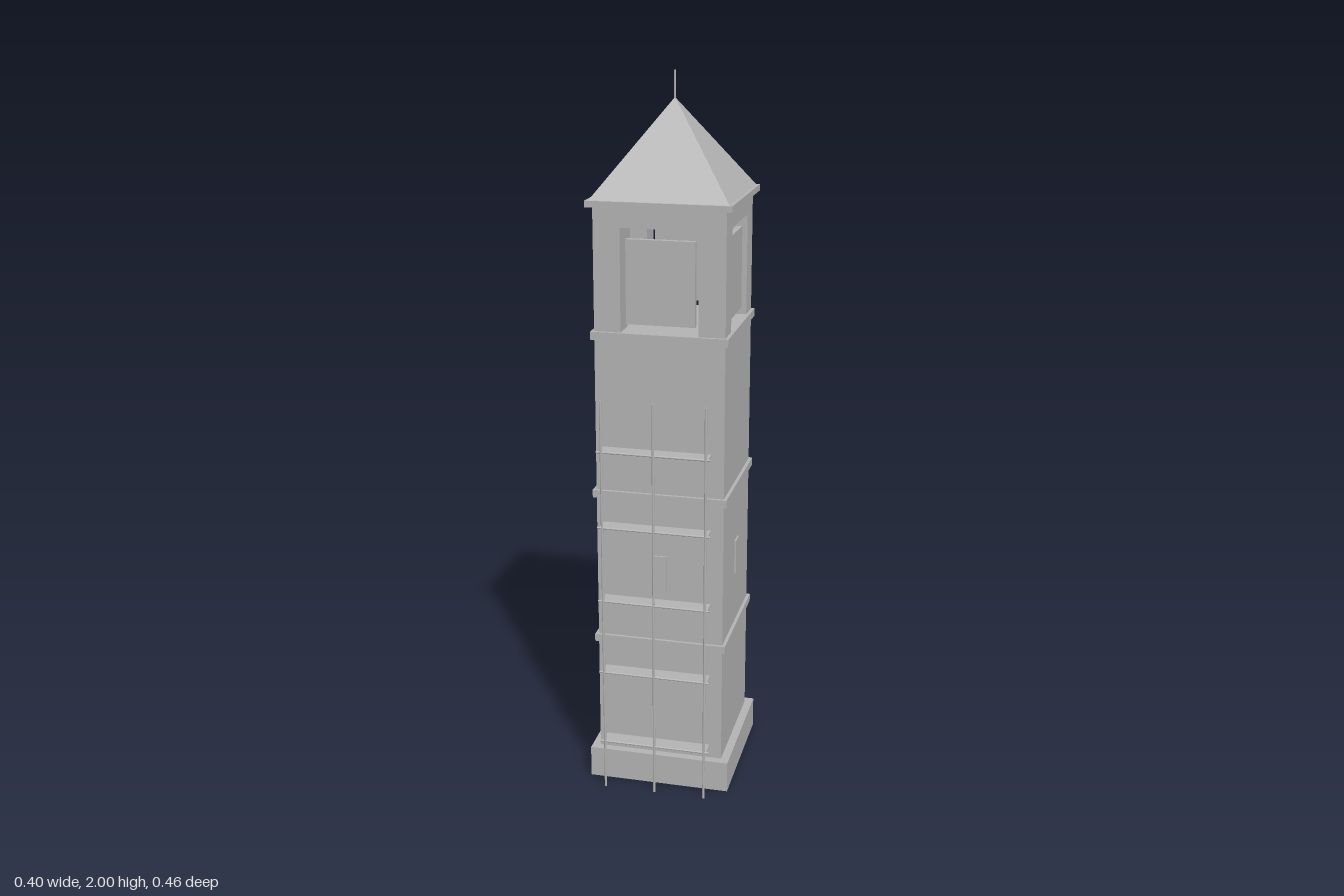
import * as THREE from 'three';

export function createModel() {
  const model = new THREE.Group();
  const stone = new THREE.MeshStandardMaterial({ color: 0xb4b4b4 });
  stone.name = 'grey stone';

  const add = (parent, name, geometry, x, y, z) => {
    const mesh = new THREE.Mesh(geometry, stone);
    mesh.name = name;
    mesh.position.set(x, y, z);
    parent.add(mesh);
    return mesh;
  };
  // Box given by its size and its bottom height
  const box = (parent, name, w, h, d, x, y0, z) =>
    add(parent, name, new THREE.BoxGeometry(w, h, d), x, y0 + h / 2, z);

  const tower = new THREE.Group();
  tower.name = 'tower';
  tower.position.z = -0.027;
  model.add(tower);

  // Plinth, shaft and string courses
  const half = 0.179;
  box(tower, 'plinth', 0.404, 0.09, 0.404, 0, 0, 0);
  box(tower, 'shaft', half * 2, 1.24, half * 2, 0, 0.09, 0);
  for (const y of [0.425, 0.86, 1.308]) box(tower, 'stringCourse', 0.376, 0.022, 0.376, 0, y, 0);

  // Open belfry: four corner piers under a lintel
  const opening = 0.106;
  const pier = half - opening;
  for (const sx of [-1, 1])
    for (const sz of [-1, 1])
      box(tower, 'belfryPier', pier, 0.28, pier, sx * (half - pier / 2), 1.33, sz * (half - pier / 2));
  box(tower, 'belfryLintel', half * 2, 0.055, half * 2, 0, 1.61, 0);

  // Floating shutter panel in each belfry opening, slit plate lower down
  for (let i = 0; i < 4; i++) {
    const side = new THREE.Group();
    side.name = 'towerSide';
    side.rotation.y = (i * Math.PI) / 2;
    tower.add(side);
    box(side, 'shutter', 0.188, 0.228, 0.016, 0, 1.351, half - 0.02);
    if (i < 3) box(side, 'slitWindow', 0.04, 0.1, 0.01, 0, 0.6, half);
    // The slit on the -x side stands edge-on as a thin fin
    else box(side, 'slitFin', 0.006, 0.1, 0.044, 0, 0.6, half);
  }

  // Eaves, pyramid roof and finial
  box(tower, 'eaves', 0.392, 0.017, 0.392, 0, 1.663, 0);
  const roof = new THREE.ConeGeometry(0.187 * Math.SQRT2, 0.25, 4, 1).toNonIndexed();
  roof.rotateY(Math.PI / 4);
  roof.computeVertexNormals();
  add(tower, 'roof', roof, 0, 1.805, 0);
  add(tower, 'finial', new THREE.CylinderGeometry(0.003, 0.003, 0.09, 8), 0, 1.955, 0);

  // Scaffold against the front
  const scaffold = new THREE.Group();
  scaffold.name = 'scaffold';
  model.add(scaffold);
  for (const x of [-0.144, 0, 0.144])
    add(scaffold, 'pole', new THREE.CylinderGeometry(0.0035, 0.0035, 1.16, 8), x, 0.58, 0.225);
  for (let i = 0; i < 5; i++) {
    const y = 0.145 + i * 0.2175;
    box(scaffold, 'platform', 0.302, 0.005, 0.044, 0, y - 0.0025, 0.203);
    const rail = add(scaffold, 'ledger', new THREE.CylinderGeometry(0.003, 0.003, 0.316, 8), 0, y, 0.225);
    rail.rotation.z = Math.PI / 2;
  }
  return model;
}
